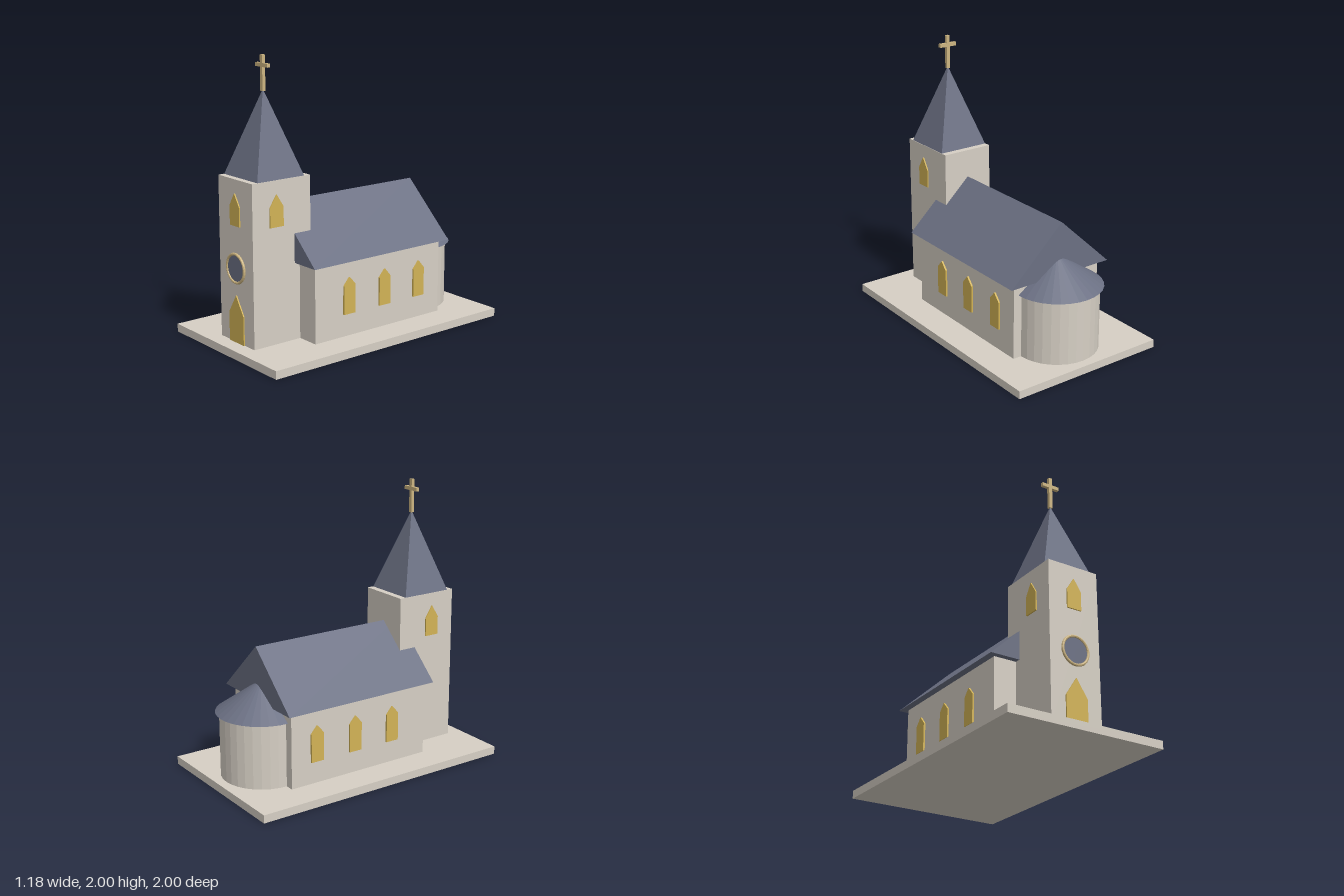
import * as THREE from 'three';

export function createModel() {
  const church = new THREE.Group();
  church.name = 'church';

  const material = (name, color) => {
    const m = new THREE.MeshStandardMaterial({ color, flatShading: true });
    m.name = name;
    return m;
  };
  const stone = material('pale stone', 0xd6cfc4);
  const slate = material('slate', 0x6b7083);
  const glass = material('golden glass', 0xd2b356);
  const brass = material('pale brass', 0xcdb581);

  const add = (name, geometry, mat, x = 0, y = 0, z = 0, turn = 0) => {
    const mesh = new THREE.Mesh(geometry, mat);
    mesh.name = name;
    mesh.position.set(x, y, z);
    mesh.rotation.y = turn;
    church.add(mesh);
    return mesh;
  };

  // Box given by its width, vertical range and depth range
  const block = (name, mat, width, y0, y1, z0, z1) =>
    add(name, new THREE.BoxGeometry(width, y1 - y0, z1 - z0), mat, 0, (y0 + y1) / 2, (z0 + z1) / 2);

  // Outline in x and y pushed out along z
  const extrude = (points, depth) => new THREE.ExtrudeGeometry(
    new THREE.Shape(points.map(([x, y]) => new THREE.Vector2(x, y))),
    { depth, bevelEnabled: false });

  // Pointed opening whose sill centre is the origin
  const pointed = (width, shoulder, height, depth) => extrude([
    [-width / 2, 0], [width / 2, 0], [width / 2, shoulder],
    [0, height], [-width / 2, shoulder]], depth);

  // Plinth, nave and tower
  block('plinth', stone, 1.184, 0, 0.058, -1, 1);
  block('naveWalls', stone, 0.728, 0.058, 0.605, -0.635, 0.503);
  block('tower', stone, 0.39, 0.058, 1.193, 0.41, 0.887);

  // Gabled nave roof
  add('naveRoof', extrude([[-0.416, 0.602], [0.416, 0.602], [0, 0.99]], 1.225), slate, 0, 0, -0.68);

  // Round apse with conical roof
  add('apseWall', new THREE.CylinderGeometry(0.3, 0.3, 0.468, 32), stone, 0, 0.292, -0.635);
  add('apseRoof', new THREE.ConeGeometry(0.325, 0.226, 32), slate, 0, 0.637, -0.638);

  // Four-sided spire
  const spire = new THREE.ConeGeometry(0.192 * Math.SQRT2, 0.58, 4).rotateY(Math.PI / 4);
  add('spire', spire, slate, 0, 1.483, 0.65);

  // Cross
  block('crossPost', brass, 0.026, 1.76, 2, 0.638, 0.662);
  block('crossArm', brass, 0.134, 1.919, 1.945, 0.638, 0.662);

  // Side windows of nave and belfry
  for (const side of [-1, 1]) {
    const turn = side * Math.PI / 2;
    for (const z of [0.21, -0.11, -0.43])
      add('naveWindow', pointed(0.1, 0.205, 0.262, 0.017), glass, side * 0.36, 0.218, z, turn);
    add('belfrySideWindow', pointed(0.11, 0.135, 0.222, 0.014), glass, side * 0.19, 0.877, 0.695, turn);
  }

  // Front window and door
  add('belfryFrontWindow', pointed(0.11, 0.135, 0.222, 0.014), glass, 0, 0.877, 0.882);
  add('door', pointed(0.166, 0.205, 0.335, 0.014), glass, 0, 0.058, 0.882);

  // Round window with its ring
  add('roseWindow', new THREE.CylinderGeometry(0.1, 0.1, 0.009, 32).rotateX(Math.PI / 2), slate, 0, 0.582, 0.89);
  add('roseRing', new THREE.TorusGeometry(0.099, 0.01, 8, 32), brass, 0, 0.582, 0.893);

  return church;
}
